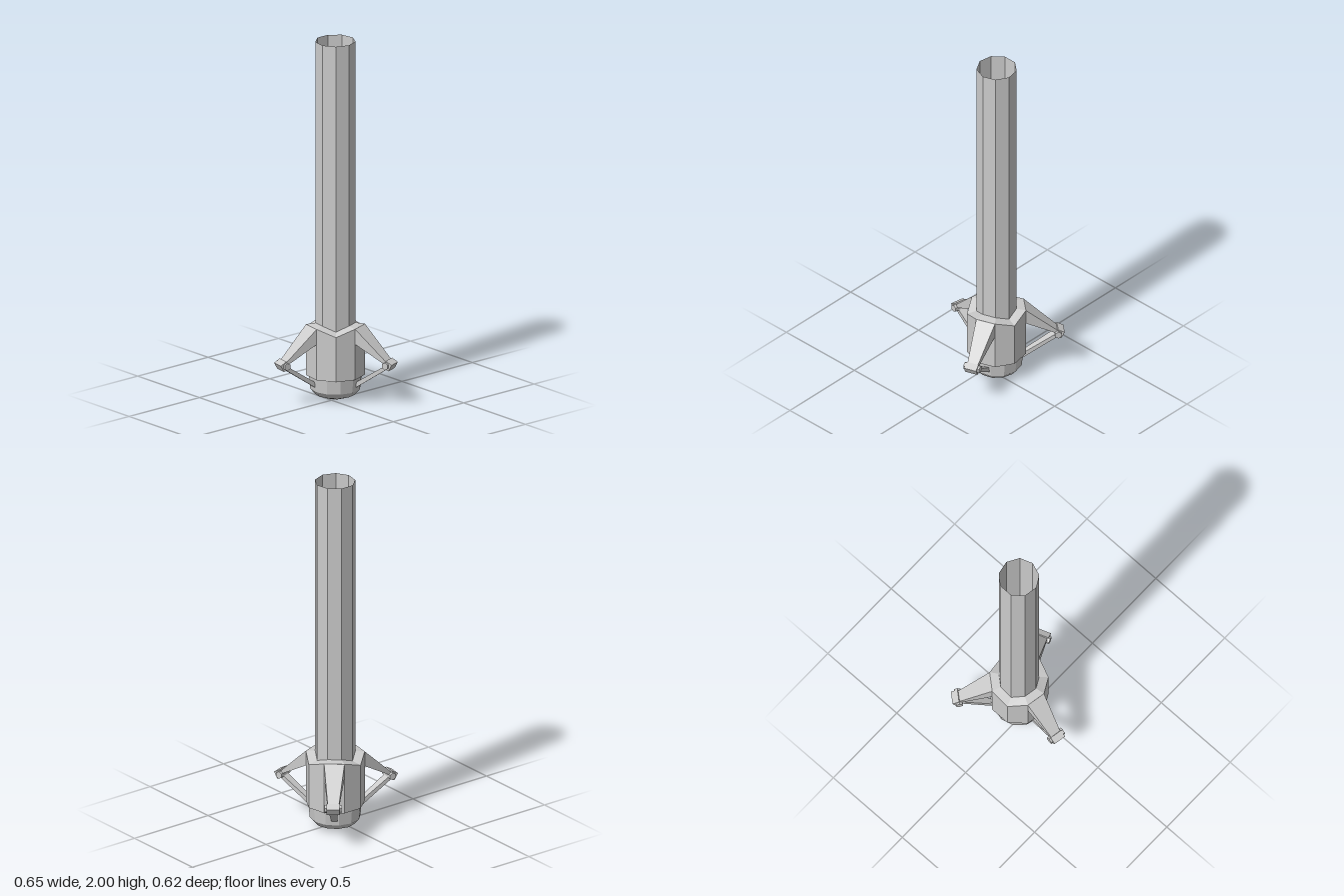
import * as THREE from 'three';

const SIDES = 9;
const CENTRE = [-0.026, -0.05];
const material = new THREE.MeshStandardMaterial({
  color: 0xcccccc, flatShading: true, side: THREE.DoubleSide,
});

function part(name, geometry, parent) {
  const mesh = new THREE.Mesh(geometry, material);
  mesh.name = name;
  parent.add(mesh);
  return mesh;
}

// Box whose inner and outer ends are rectangles {r, top, bottom, width}
function taperedBeam(inner, outer) {
  const geometry = new THREE.BoxGeometry(1, 1, 1);
  const p = geometry.attributes.position;
  for (let i = 0; i < p.count; i++) {
    const end = p.getX(i) < 0 ? inner : outer;
    p.setXYZ(i, end.r, p.getY(i) > 0 ? end.top : end.bottom, p.getZ(i) * end.width);
  }
  geometry.computeVertexNormals();
  return geometry;
}

// Nine-sided collar whose top edge dips midway between the arms
function collarGeometry() {
  const ring = (k) => {
    const a = (k % SIDES) * Math.PI * 2 / SIDES;
    const dip = k % 3 === 1;
    const section = [
      [0.137, 0.135], [0.16, 0.135],
      [0.16, dip ? 0.385 : 0.42], [0.108, dip ? 0.4 : 0.425],
    ];
    return section.map(([r, y]) => [r * Math.cos(a), y, r * Math.sin(a)]);
  };
  const positions = [];
  for (let i = 0; i < SIDES; i++) {
    const a = ring(i), b = ring(i + 1);
    for (let j = 0; j < 3; j++) {
      positions.push(...a[j], ...a[j + 1], ...b[j], ...b[j], ...a[j + 1], ...b[j + 1]);
    }
  }
  const geometry = new THREE.BufferGeometry();
  geometry.setAttribute('position', new THREE.Float32BufferAttribute(positions, 3));
  geometry.computeVertexNormals();
  return geometry;
}

// One arm with its hinge and strut, pointing along local +x
function createArm(angle) {
  const arm = new THREE.Group();
  arm.name = 'armAssembly';
  part('arm', taperedBeam(
    { r: 0.15, top: 0.42, bottom: 0.335, width: 0.109 },
    { r: 0.325, top: 0.255, bottom: 0.235, width: 0.06 }), arm);
  part('strut', taperedBeam(
    { r: 0.12, top: 0.1, bottom: 0.07, width: 0.03 },
    { r: 0.33, top: 0.24, bottom: 0.215, width: 0.05 }), arm);

  const block = part('hingeBlock', new THREE.BoxGeometry(0.04, 0.042, 0.07), arm);
  block.position.set(0.334, 0.235, 0);
  block.rotation.z = -0.5;
  const pin = part('hingePin', new THREE.CylinderGeometry(0.021, 0.021, 0.092, 6), arm);
  pin.rotation.x = Math.PI / 2;
  pin.position.set(0.326, 0.235, 0);

  arm.rotation.y = -angle;
  return arm;
}

export function createModel() {
  const model = new THREE.Group();
  model.name = 'poleWithThreeArms';
  const body = new THREE.Group();
  body.name = 'body';
  body.position.set(CENTRE[0], 0, CENTRE[1]);
  model.add(body);

  // Open-topped hollow pole with a floor inside
  const pole = part('pole', new THREE.CylinderGeometry(
    0.109, 0.109, 1.61, SIDES, 1, true, Math.PI / 2), body);
  pole.position.y = 1.195;
  const floor = part('poleFloor', new THREE.CircleGeometry(0.109, SIDES), body);
  floor.rotation.x = -Math.PI / 2;
  floor.position.y = 0.4;

  part('collar', collarGeometry(), body);

  // Rounded foot below the collar
  const profile = [[0, 0], [0.062, 0.008], [0.11, 0.026], [0.137, 0.057], [0.145, 0.14]];
  part('domeFoot', new THREE.LatheGeometry(
    profile.map(([r, y]) => new THREE.Vector2(r, y)), 12), body);

  for (const degrees of [-20, 100, 220]) {
    body.add(createArm(THREE.MathUtils.degToRad(degrees)));
  }
  return model;
}
